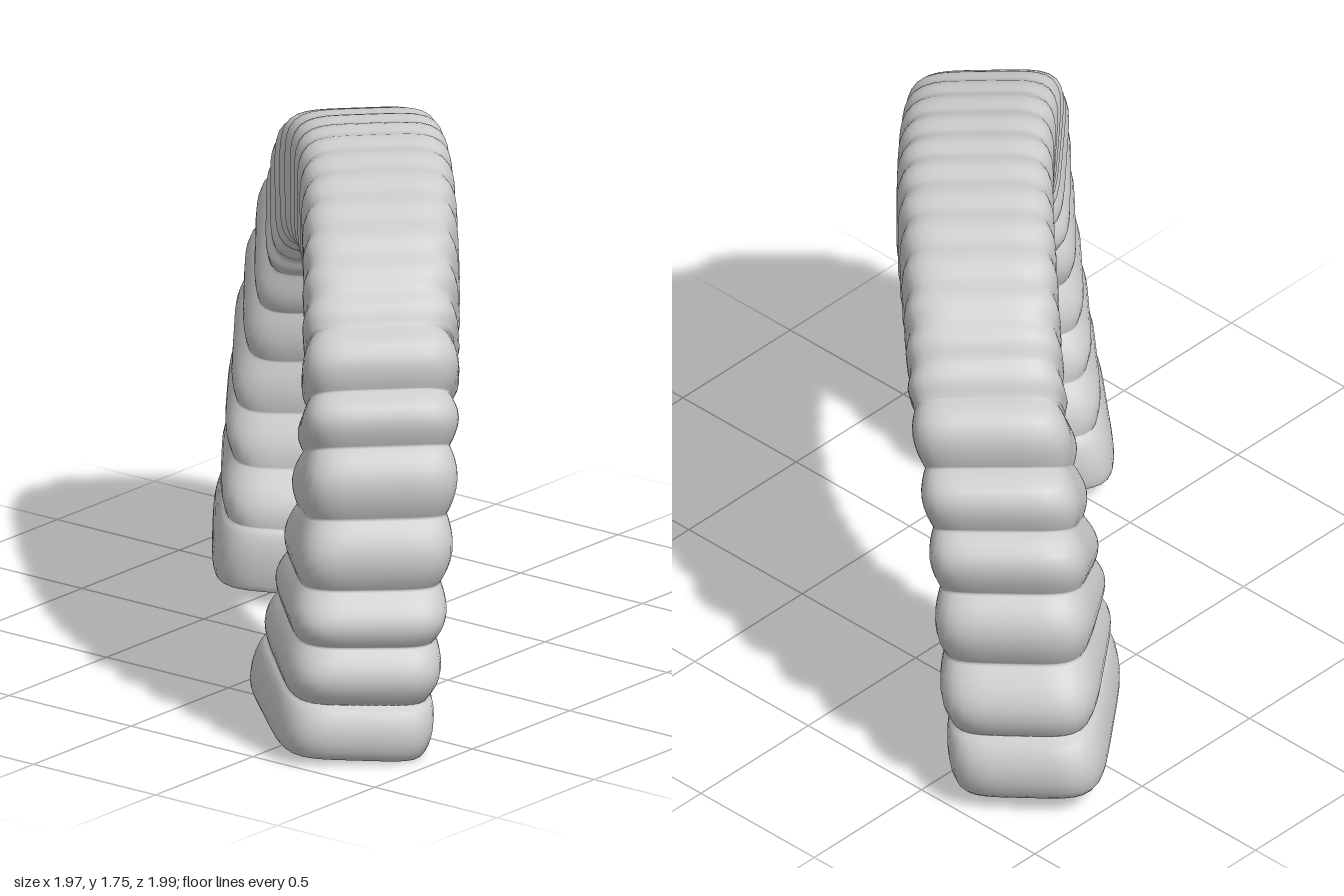
import * as THREE from 'three';

// Groove lines: outer edge u, y, w and inner edge u, y, w
// (u runs along the arch's diagonal, w across it)
const LEFT_LEG = [
  [-1.18, 0.065, 0.025, -0.455, 0.05, -0.075], [-1.16, 0.29, 0.05, -0.46, 0.26, -0.046],
  [-1.095, 0.53, 0.07, -0.54, 0.44, -0.02], [-1.055, 0.78, 0.083, -0.595, 0.61, -0.005],
  [-1.0, 0.99, 0.10, -0.605, 0.78, 0.036], [-0.915, 1.18, 0.123, -0.585, 0.95, 0.068],
  [-0.81, 1.38, 0.145, -0.545, 1.09, 0.107],
];
const CROWN = [
  [-0.645, 1.575, 0.15, -0.445, 1.20, 0.13], [-0.39, 1.695, 0.153, -0.30, 1.27, 0.145],
  [-0.12, 1.745, 0.155, -0.10, 1.30, 0.155], [0.14, 1.745, 0.145, 0.10, 1.30, 0.155],
  [0.42, 1.69, 0.123, 0.29, 1.265, 0.152], [0.685, 1.57, 0.094, 0.425, 1.20, 0.14],
];
const RIGHT_LEG = [
  [0.87, 1.38, 0.074, 0.515, 1.09, 0.125], [0.97, 1.20, 0.067, 0.57, 0.99, 0.105],
  [1.035, 1.03, 0.067, 0.61, 0.88, 0.075], [1.08, 0.80, 0.056, 0.635, 0.73, 0.05],
  [1.11, 0.57, 0.033, 0.60, 0.57, 0.023], [1.15, 0.39, 0.017, 0.54, 0.42, -0.003],
  [1.16, 0.20, -0.003, 0.475, 0.25, -0.038], [1.17, 0.02, -0.025, 0.445, 0.065, -0.085],
];
const LINES = [...LEFT_LEG, ...CROWN, ...RIGHT_LEG];
const LAST = LINES.length - 1;
const CROWN_START = LEFT_LEG.length - 1;
const CROWN_END = LAST - RIGHT_LEG.length + 1;
const STEPS = 10; // cross-sections per lobe
const SIDES = 64; // points around each section

// one fat lobe per leg interval, two fine ribs per crown interval
function lobeBorders() {
  const borders = [];
  for (let p = 0; p <= LAST; p++) {
    borders.push(p);
    if (p >= CROWN_START && p < CROWN_END) borders.push(p + 0.5);
  }
  return borders;
}

function archGeometry() {
  const curve = (i) => new THREE.CatmullRomCurve3(
    LINES.map((l) => new THREE.Vector3(l[i], l[i + 1], l[i + 2])), false, 'catmullrom', 0.5);
  const outerCurve = curve(0), innerCurve = curve(3);
  const borders = lobeBorders();
  const lobes = borders.length - 1;
  const rings = lobes * STEPS;
  const pos = [], index = [];

  for (let i = 0; i <= rings; i++) {
    // sections crowd towards the grooves
    const lobe = Math.min(Math.floor(i / STEPS), lobes - 1);
    const part = (1 - Math.cos(Math.PI * (i / STEPS - lobe))) / 2;
    const p = THREE.MathUtils.lerp(borders[lobe], borders[lobe + 1], part);
    const crown = borders[lobe] >= CROWN_START && borders[lobe] < CROWN_END;
    const foot = lobe === 0 || lobe === lobes - 1;
    const left = p < CROWN_START;

    // pillow shape of the lobe: full at the feet, soft waves on the crown
    const bulge = Math.pow(Math.max(0, Math.sin(Math.PI * part)), foot ? 0.5 : crown ? 2 : 0.95);
    const o = outerCurve.getPoint(p / LAST), n = innerCurve.getPoint(p / LAST);
    const dir = o.clone().sub(n).setZ(0).normalize();
    o.addScaledVector(dir, (crown ? 0.01 : left ? 0.062 : 0.047) * bulge);
    n.addScaledVector(dir, -(crown ? 0.008 : 0.018) * bulge);

    const halfWidth = crown ? 0.238 + 0.013 * bulge : 0.228 + 0.026 * bulge;
    const low = Math.max(0, 1 - n.y / 1.1);
    const shear = left ? 0.04 * low : 0;

    for (let j = 0; j < SIDES; j++) {
      const a = (j / SIDES) * Math.PI * 2;
      const c = Math.cos(a), s = Math.sin(a);
      const r = Math.pow(Math.abs(c) ** 5 + Math.abs(s) ** 5, -1 / 5);
      const f = 0.5 + 0.5 * r * c;
      const side = r * s;
      const q = n.clone().lerp(o, f);
      const u = q.x + shear * side;
      const y = q.y - 0.018 * side * low ** 2;
      const w = q.z + side * halfWidth;
      pos.push((u + w) / Math.SQRT2, y, (u - w) / Math.SQRT2);
    }
  }

  for (let i = 0; i < rings; i++) {
    for (let j = 0; j < SIDES; j++) {
      const k = (j + 1) % SIDES;
      const a = i * SIDES + j, b = i * SIDES + k;
      index.push(a, a + SIDES, b, b, a + SIDES, b + SIDES);
    }
  }

  // flat soles with their own vertices
  for (const ring of [0, rings]) {
    const start = pos.length / 3;
    const mid = [0, 0, 0];
    for (let j = 0; j < SIDES; j++) {
      for (let d = 0; d < 3; d++) {
        const v = pos[(ring * SIDES + j) * 3 + d];
        pos.push(v);
        mid[d] += v / SIDES;
      }
    }
    pos.push(...mid);
    for (let j = 0; j < SIDES; j++) {
      const a = start + j, b = start + (j + 1) % SIDES, c = start + SIDES;
      if (ring === 0) index.push(c, a, b);
      else index.push(c, b, a);
    }
  }

  const geo = new THREE.BufferGeometry();
  geo.setAttribute('position', new THREE.Float32BufferAttribute(pos, 3));
  geo.setIndex(index);
  geo.computeVertexNormals();
  return geo;
}

export function createModel() {
  const group = new THREE.Group();
  group.name = 'ribbedArch';
  const arch = new THREE.Mesh(archGeometry(), new THREE.MeshStandardMaterial({ color: 0xcccccc }));
  arch.name = 'arch';
  group.add(arch);
  return group;
}
